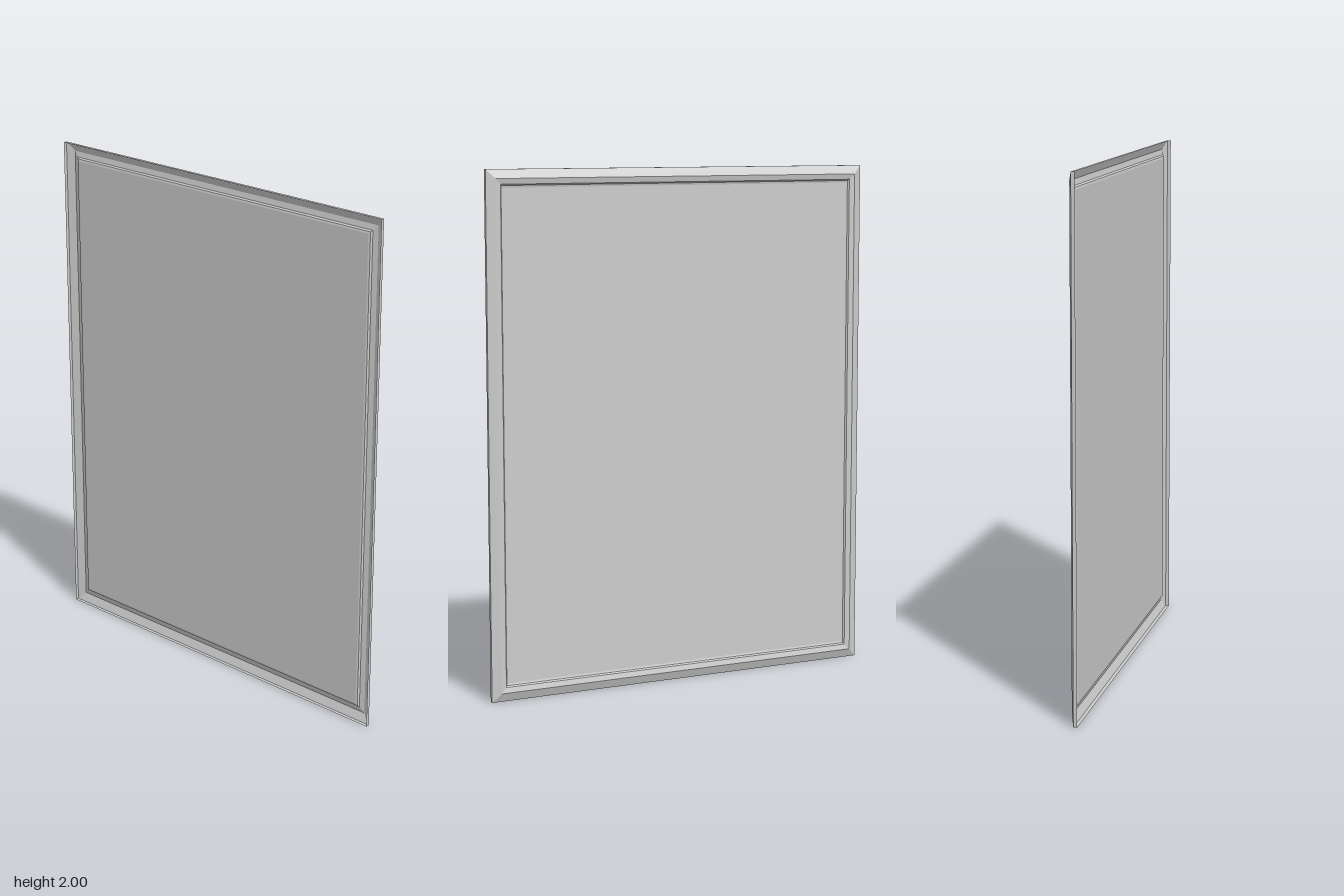
import * as THREE from 'three';

const HALF_Z = 0.8;
const HALF_Y = 1;

// Moulding cross-section from the outer back edge inwards: [inset, x]
const PROFILE = [
  [0, -0.014],
  [0, 0.0],
  [0.034, 0.014],
  [0.055, 0.009],
  [0.060, 0.002],
  [0.068, 0.0],
];

// Corner signs [z, y], counter-clockwise seen from +x
const CORNERS = [[1, -1], [-1, -1], [-1, 1], [1, 1]];

function cornerPoint([inset, x], k) {
  const [sz, sy] = CORNERS[k % 4];
  return [x, HALF_Y + sy * (HALF_Y - inset), sz * (HALF_Z - inset)];
}

// One mitred length of moulding along side k
function mouldingGeometry(k) {
  const positions = [];
  for (let i = 0; i < PROFILE.length - 1; i++) {
    const a = cornerPoint(PROFILE[i], k);
    const b = cornerPoint(PROFILE[i], k + 1);
    const c = cornerPoint(PROFILE[i + 1], k + 1);
    const d = cornerPoint(PROFILE[i + 1], k);
    positions.push(...a, ...b, ...c, ...a, ...c, ...d);
  }
  const geometry = new THREE.BufferGeometry();
  geometry.setAttribute('position', new THREE.Float32BufferAttribute(positions, 3));
  geometry.computeVertexNormals();
  return geometry;
}

export function createModel() {
  const group = new THREE.Group();
  group.name = 'framedPanel';
  const material = new THREE.MeshStandardMaterial({
    color: 0xcccccc, flatShading: true, side: THREE.DoubleSide,
  });

  // Four mitred mouldings, hollow at the back
  const frame = new THREE.Group();
  frame.name = 'frame';
  ['bottomMoulding', 'backMoulding', 'topMoulding', 'frontMoulding'].forEach((name, k) => {
    const side = new THREE.Mesh(mouldingGeometry(k), material);
    side.name = name;
    frame.add(side);
  });
  group.add(frame);

  // Flat panel set into the frame, facing +x
  const [inset, x] = PROFILE[PROFILE.length - 1];
  const panel = new THREE.Mesh(
    new THREE.PlaneGeometry(2 * (HALF_Z - inset), 2 * (HALF_Y - inset)), material);
  panel.name = 'panel';
  panel.rotation.y = Math.PI / 2;
  panel.position.set(x, HALF_Y, 0);
  group.add(panel);

  return group;
}
